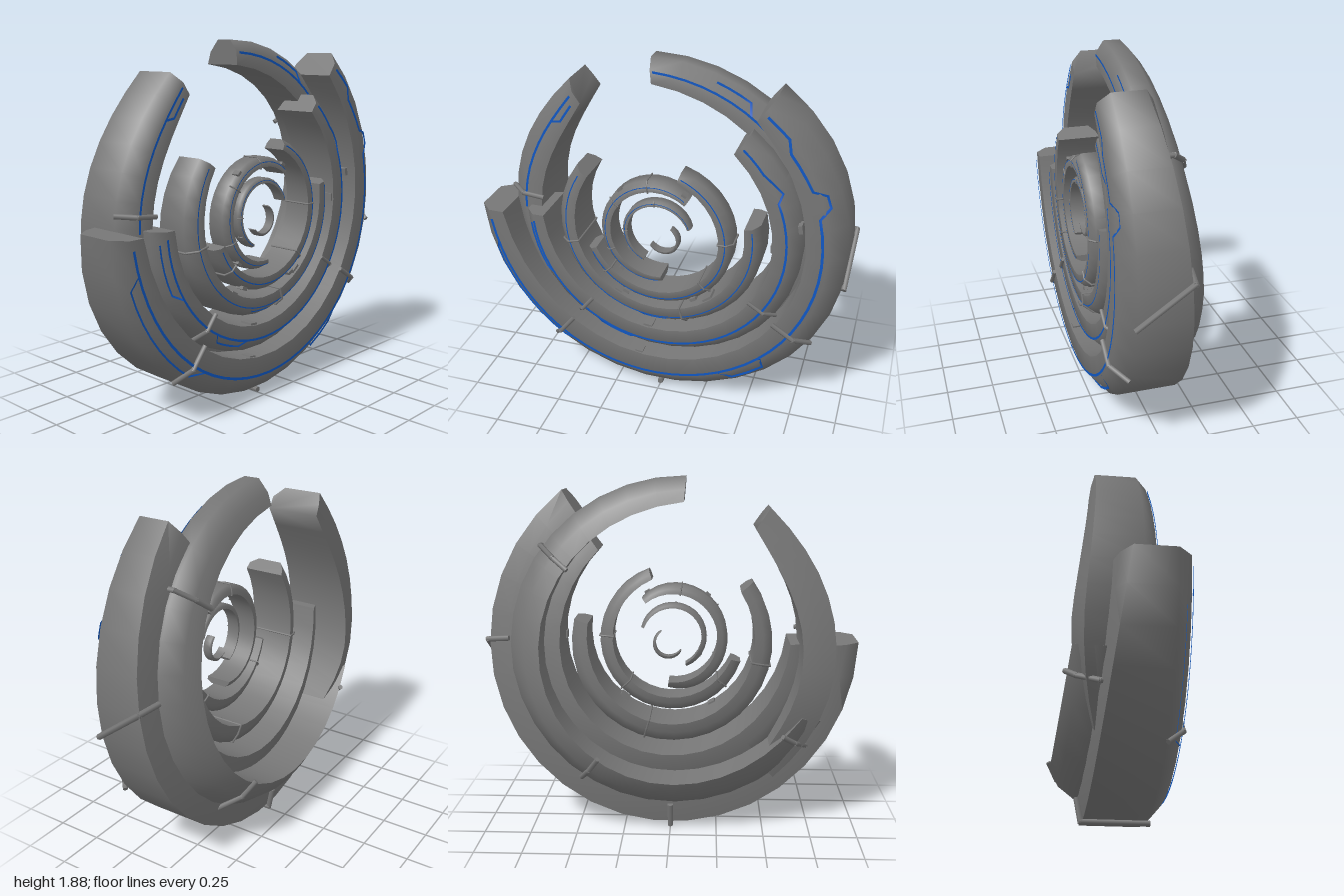
import * as THREE from 'three';
import { toCreasedNormals } from 'three/addons/utils/BufferGeometryUtils.js';

const grey = new THREE.MeshStandardMaterial({ color: 0x777777 });
const blue = new THREE.MeshStandardMaterial({ color: 0x1058c4, side: THREE.DoubleSide });
const DEG = Math.PI / 180;

// Arc segments: angles from-to in degrees, inner/outer radius mid and at the ends,
// front depth zf, back depth zb at y = 0 with slope zs per unit of height,
// back bevel bb mid and be at the ends, lift thins the tail.
const ARCS = {
  outerArc: { from: 179, to: 414.5, ri: 0.76, ro: 0.968, riEnd: 0.855, roEnd: 1, zf: 0.27, zb: -0.165, zs: 0.085, bb: 0.07, be: 0.22, steps: 22 },
  backLeftArc: { from: 124.5, to: 232, ri: 0.685, ro: 0.858, riEnd: 0.765, roEnd: 0.895, zf: 0.14, zb: -0.33, zs: 0.1, bb: 0.12, be: 0.08, lift: 0.15, steps: 12 },
  backRightArc: { from: 206, to: 455, ri: 0.685, ro: 0.855, riEnd: 0.765, roEnd: 0.892, zf: 0.11, zb: -0.315, zs: 0.115, bb: 0.4, be: 0.4, steps: 24 },
  secondArc: { from: 179, to: 412.5, ri: 0.595, ro: 0.742, riEnd: 0.635, roEnd: 0.745, zf: 0.24, zb: -0.13, zs: 0.08, bb: 0.13, be: 0.2, steps: 22 },
  thirdArc: { from: 143, to: 373, ri: 0.445, ro: 0.545, riEnd: 0.465, roEnd: 0.545, zf: 0.25, zb: -0.06, zs: 0.06, bb: 0.13, be: 0.2, steps: 22 },
  fourthArc: { from: 199, to: 431, ri: 0.33, ro: 0.4, riEnd: 0.345, roEnd: 0.4, zf: 0.27, zb: 0.06, zs: 0.06, bb: 0.15, be: 0.2, steps: 22 },
  fifthArc: { from: 53, to: 275, ri: 0.25, ro: 0.305, riEnd: 0.245, roEnd: 0.28, zf: 0.255, zb: 0.08, zs: 0.04, bb: 0.15, be: 0.2, steps: 22 },
  sixthArc: { from: 17, to: 245, ri: 0.162, ro: 0.19, riEnd: 0.168, roEnd: 0.185, zf: 0.24, zb: 0.15, zs: 0.02, bb: 0.15, be: 0.2, steps: 20 },
  coreArc: { from: 210, to: 420, ri: 0.07, ro: 0.086, riEnd: 0.078, roEnd: 0.084, zf: 0.22, zb: 0.17, zs: 0, bb: 0.15, be: 0.2, steps: 18, cx: 0.025, cy: 0.96 },
};

// Six-sided profile as [radius, z] at an angle: flat inner wall, bevelled outer side
function profile(s, deg) {
  const t = (deg - s.from) / (s.to - s.from);
  const e = Math.pow(2 * t - 1, 4);
  const ri = THREE.MathUtils.lerp(s.ri, s.riEnd, e);
  const ro = THREE.MathUtils.lerp(s.ro, s.roEnd, e);
  const bevel = THREE.MathUtils.lerp(s.bb, s.be, e);
  const w = ro - ri;
  const y = (s.cy ?? 1) + ro * Math.sin(deg * DEG);
  const tail = Math.max(0, (t - 0.6) / 0.4);
  const f = s.zf, b = s.zb + s.zs * y + (s.lift ?? 0) * tail * tail, d = f - b;
  return [
    [ri, f], [ri + 0.55 * w, f], [ro, f - 0.19 * d],
    [ro, b + bevel * d], [ri + 0.5 * w, b + 0.3 * bevel * d], [ri, b],
  ];
}

function place(s, deg, r, z) {
  return new THREE.Vector3((s.cx ?? 0) + r * Math.cos(deg * DEG), (s.cy ?? 1) + r * Math.sin(deg * DEG), z);
}

// Sweep the profile around the arc and cap both ends
function arcGeometry(s) {
  const pos = [], idx = [], n = 6;
  for (let i = 0; i <= s.steps; i++) {
    const a = THREE.MathUtils.lerp(s.from, s.to, i / s.steps);
    for (const [r, z] of profile(s, a)) pos.push(...place(s, a, r, z).toArray());
  }
  for (let i = 0; i < s.steps; i++) {
    for (let j = 0; j < n; j++) {
      const a = i * n + j, b = i * n + (j + 1) % n;
      idx.push(a, b, a + n, b, b + n, a + n);
    }
  }
  const last = s.steps * n;
  for (let j = 1; j < n - 1; j++) idx.push(0, j + 1, j, last, last + j, last + j + 1);
  const g = new THREE.BufferGeometry();
  g.setAttribute('position', new THREE.Float32BufferAttribute(pos, 3));
  g.setIndex(idx);
  return toCreasedNormals(g, 66 * DEG);
}

// Clamp of straight bars following chosen profile corners, optionally skewed front to back
function clamp(s, deg, corners, radius, skew = 0) {
  const points = corners.map((c) => {
    const mid = (s.zf + s.zb + s.zs) / 2;
    const a = deg + skew * (mid - profile(s, deg)[c][1]);
    const p = profile(s, a);
    const rm = (p[0][0] + p[2][0]) / 2, zm = (p[0][1] + p[5][1]) / 2;
    const [r, z] = p[c];
    return place(s, a, r + Math.sign(r - rm) * radius * 0.6, z + Math.sign(z - zm) * radius * 0.6);
  });
  const group = new THREE.Group();
  group.name = 'clamp';
  for (let i = 0; i < points.length - 1; i++) {
    const dir = points[i + 1].clone().sub(points[i]);
    const bar = new THREE.Mesh(new THREE.CylinderGeometry(radius, radius, dir.length() + radius, 6), grey);
    bar.position.copy(points[i]).addScaledVector(dir, 0.5);
    bar.quaternion.setFromUnitVectors(new THREE.Vector3(0, 1, 0), dir.normalize());
    bar.name = 'clampBar';
    group.add(bar);
  }
  return group;
}

// Inlaid ribbon on the front: keys are [degrees, fraction of the width]
function inlay(s, keys, halfWidth) {
  const points = [];
  const at = (deg, f) => {
    const p = profile(s, deg);
    const r = THREE.MathUtils.lerp(p[0][0], p[2][0], f);
    const z = f <= 0.55 ? p[1][1] : THREE.MathUtils.lerp(p[1][1], p[2][1], (f - 0.55) / 0.45);
    return place(s, deg, r, z + halfWidth * 1.2);
  };
  for (let i = 0; i < keys.length - 1; i++) {
    const [a0, f0] = keys[i], [a1, f1] = keys[i + 1];
    const n = Math.max(1, Math.ceil(Math.abs(a1 - a0) / 6));
    for (let k = 0; k < n; k++) points.push(at(a0 + (a1 - a0) * k / n, f0 + (f1 - f0) * k / n));
  }
  points.push(at(...keys[keys.length - 1]));
  const pos = [], idx = [];
  points.forEach((p, i) => {
    const d = points[Math.min(i + 1, points.length - 1)].clone().sub(points[Math.max(i - 1, 0)]);
    const side = new THREE.Vector3(-d.y, d.x, 0).setLength(halfWidth);
    pos.push(...p.clone().add(side).toArray(), ...p.clone().sub(side).toArray());
    if (i > 0) idx.push(2 * i - 2, 2 * i - 1, 2 * i, 2 * i - 1, 2 * i + 1, 2 * i);
  });
  const g = new THREE.BufferGeometry();
  g.setAttribute('position', new THREE.Float32BufferAttribute(pos, 3));
  g.setIndex(idx);
  g.computeVertexNormals();
  const mesh = new THREE.Mesh(g, blue);
  mesh.name = 'inlayLine';
  return mesh;
}

// Small block set on the inner or outer rim
function block(s, deg, corner, size) {
  const p = profile(s, deg);
  const mesh = new THREE.Mesh(new THREE.BoxGeometry(size * 0.7, size * 1.4, size * 2), grey);
  mesh.position.copy(place(s, deg, p[corner][0], s.zf - size * 1.3));
  mesh.rotation.z = deg * DEG;
  mesh.name = 'rimBlock';
  return mesh;
}

export function createModel() {
  const root = new THREE.Group();
  root.name = 'brokenRings';
  for (const [name, spec] of Object.entries(ARCS)) {
    const mesh = new THREE.Mesh(arcGeometry(spec), grey);
    mesh.name = name;
    root.add(mesh);
  }
  const A = ARCS;

  // Clamps across the arcs
  const loop = [0, 1, 2, 3, 4, 5, 0];
  const front = [0, 1, 2];
  const back = [2, 3, 4, 5];
  const list = [
    [A.outerArc, 231, front, 0.013], [A.outerArc, 327, front, 0.013],
    [A.outerArc, 270, [2, 3, 4], 0.016], [A.outerArc, 355, [2, 3, 4], 0.015, 45],
    [A.secondArc, 231, front, 0.012], [A.secondArc, 327, front, 0.01],
    [A.backLeftArc, 174, front, 0.013], [A.backRightArc, 216, back, 0.014],
    [A.backRightArc, 398, back, 0.014], [A.backRightArc, 304, back, 0.014],
    [A.thirdArc, 193, loop, 0.006], [A.thirdArc, 286, loop, 0.006],
    [A.fourthArc, 222, loop, 0.005], [A.fourthArc, 315, loop, 0.005], [A.fourthArc, 362, loop, 0.005],
    [A.fifthArc, 100, loop, 0.004], [A.fifthArc, 145, front, 0.004], [A.fifthArc, 205, front, 0.004],
    [A.sixthArc, 95, front, 0.003], [A.sixthArc, 180, front, 0.003],
  ];
  for (const c of list) root.add(clamp(...c));

  // Blocks along the rims
  const blocks = [
    [A.outerArc, 262, 0, 0.03], [A.secondArc, 264, 0, 0.035], [A.secondArc, 361, 0, 0.03],
    [A.secondArc, 371, 2, 0.03], [A.thirdArc, 308, 0, 0.04], [A.thirdArc, 240, 0, 0.03],
    [A.fourthArc, 300, 2, 0.025], [A.fourthArc, 245, 2, 0.025], [A.fifthArc, 60, 2, 0.02],
    [A.fifthArc, 130, 2, 0.02], [A.fifthArc, 230, 2, 0.02], [A.sixthArc, 215, 2, 0.015],
  ];
  for (const b of blocks) root.add(block(...b));

  // Inlaid lines with their stepped side branches
  const lines = [
    [A.outerArc, [[182, 0.5], [235, 0.5], [300, 0.45], [376, 0.4], [379, 0.7], [383, 0.7], [386, 0.4], [400, 0.3], [404, 0.5], [413, 0.4]], 0.007],
    [A.outerArc, [[190, 0.5], [194, 0.75], [233, 0.75], [237, 0.5]], 0.005],
    [A.outerArc, [[294, 0.45], [297, 0.8], [309, 0.8], [312, 0.45]], 0.007],
    [A.backLeftArc, [[126, 0.5], [180, 0.5]], 0.006],
    [A.backLeftArc, [[128, 0.25], [136, 0.25], [139, 0.5]], 0.006],
    [A.backRightArc, [[360, 0.5], [454, 0.5]], 0.006],
    [A.backRightArc, [[416, 0.5], [419, 0.8], [432, 0.8]], 0.006],
    [A.secondArc, [[182, 0.5], [340, 0.5], [370, 0.5], [384, 0.5], [387, 0.75], [398, 0.5], [411, 0.5]], 0.006],
    [A.secondArc, [[184, 0.75], [206, 0.75], [210, 0.5]], 0.005],
    [A.secondArc, [[238, 0.5], [242, 0.75], [256, 0.75], [259, 0.5]], 0.005],
    [A.thirdArc, [[146, 0.5], [371, 0.5]], 0.003],
    [A.thirdArc, [[258, 0.5], [261, 0.75], [275, 0.75]], 0.003],
    [A.fourthArc, [[202, 0.5], [429, 0.5]], 0.003],
    [A.fifthArc, [[56, 0.5], [272, 0.5]], 0.002],
    [A.sixthArc, [[20, 0.5], [242, 0.5]], 0.0015],
  ];
  for (const l of lines) root.add(inlay(...l));
  return root;
}
